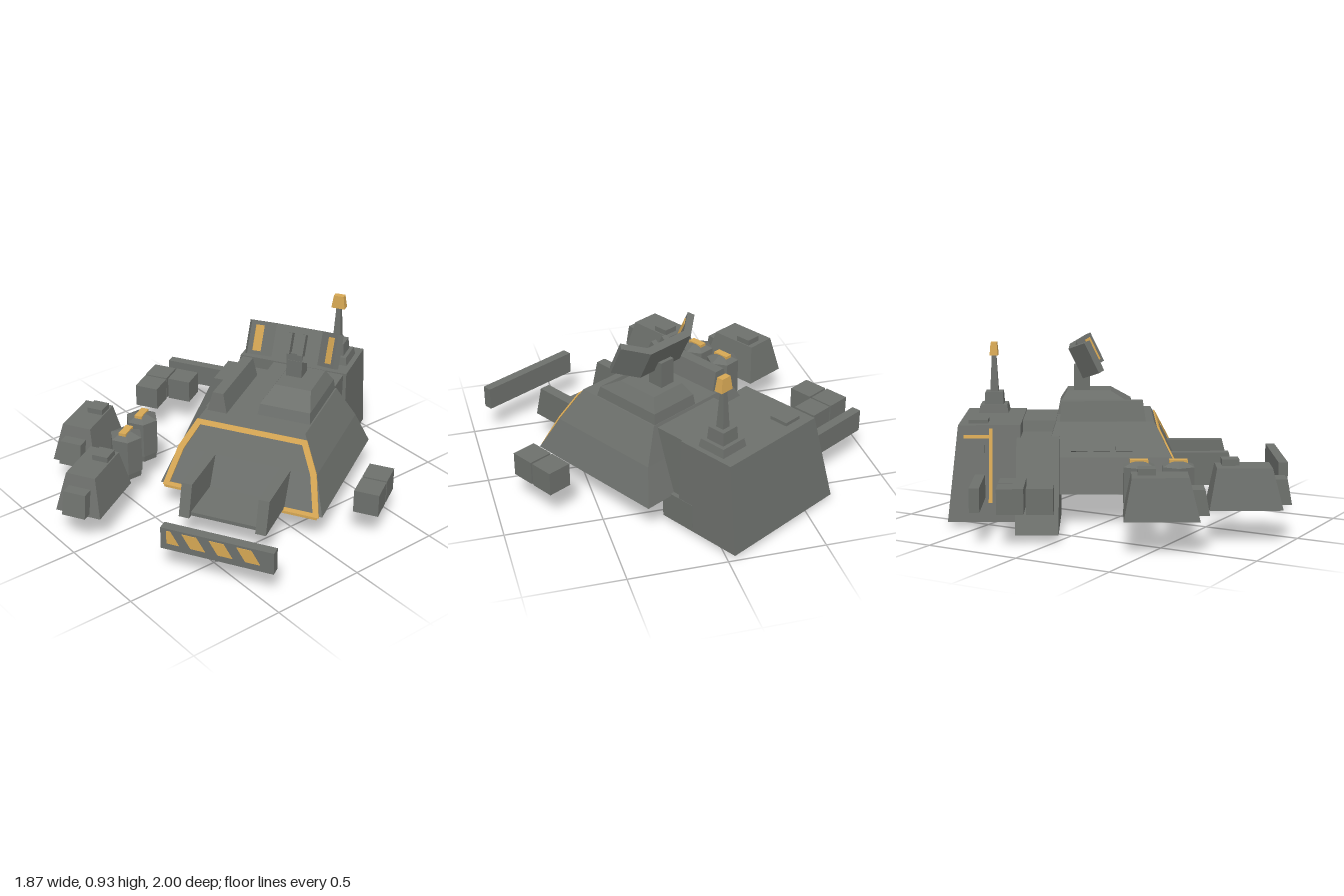
import * as THREE from 'three';

const grey = new THREE.MeshStandardMaterial({ name: 'gunmetal grey', color: 0x6d706c, side: THREE.DoubleSide });
const amber = new THREE.MeshStandardMaterial({ name: 'amber paint', color: 0xd6a754 });

// Rectangular loft, open underneath; each level is [y, x0, x1, z0, z1]
function loft(levels) {
  const pos = [];
  const rings = levels.map(([y, x0, x1, z0, z1]) => [[x0, y, z1], [x1, y, z1], [x1, y, z0], [x0, y, z0]]);
  const quad = (a, b, c, d) => pos.push(...a, ...b, ...c, ...a, ...c, ...d);
  for (let k = 0; k + 1 < rings.length; k++) {
    for (let i = 0; i < 4; i++) {
      const j = (i + 1) % 4;
      quad(rings[k][i], rings[k][j], rings[k + 1][j], rings[k + 1][i]);
    }
  }
  quad(...rings[rings.length - 1]);
  const geo = new THREE.BufferGeometry();
  geo.setAttribute('position', new THREE.Float32BufferAttribute(pos, 3));
  geo.computeVertexNormals();
  return geo;
}

const shapeOf = (pts) => new THREE.Shape(pts.map(([x, y]) => new THREE.Vector2(x, y)));
const extrude = (shape, depth) => new THREE.ExtrudeGeometry(shape, { depth, bevelEnabled: false });

function add(parent, name, geo, mat = grey, x = 0, y = 0, z = 0) {
  const mesh = new THREE.Mesh(geo, mat);
  mesh.name = name;
  mesh.position.set(x, y, z);
  parent.add(mesh);
  return mesh;
}
const box = (parent, name, w, h, d, x, y, z, mat = grey) =>
  add(parent, name, new THREE.BoxGeometry(w, h, d), mat, x, y, z);

function buildHall(g) {
  const cx = 0.19;
  add(g, 'mainHall', loft([
    [0.17, cx - 0.44, cx + 0.44, -0.455, 0.35],
    [0.35, cx - 0.376, cx + 0.376, -0.39, 0.258],
    [0.52, cx - 0.28, cx + 0.28, -0.335, 0.172],
  ]));

  // Painted border lying on the sloped front, with a sill strip below
  const frame = shapeOf([[-0.425, 0], [0.425, 0], [0.376, 0.213], [0.297, 0.372], [-0.297, 0.372], [-0.376, 0.213]]);
  frame.holes.push(shapeOf([[-0.39, 0.02], [-0.344, 0.205], [-0.276, 0.344], [0.276, 0.344], [0.344, 0.205], [0.39, 0.02]]));
  const border = add(g, 'frontBorder', extrude(frame, 0.008), amber, cx, 0.163, 0.354);
  border.rotation.x = -0.468;
  box(g, 'frontSill', 0.83, 0.014, 0.018, cx, 0.163, 0.356, amber);

  // Panels on the left shoulder
  for (const z of [-0.215, -0.1, 0.015]) {
    box(g, 'shoulderPanel', 0.018, 0.13, 0.085, -0.14, 0.435, z).rotation.z = -0.514;
  }

  // Bevelled roof vent
  add(g, 'roofVent', loft([
    [0.515, -0.078, 0.03, -0.315, 0.13],
    [0.622, -0.053, 0.005, -0.31, 0.115],
  ]));

  // Loading ramp between two side arms
  box(g, 'rampFloor', 0.36, 0.02, 0.35, 0.2, 0.188, 0.41);
  const arm = extrude(shapeOf([[0.2, 0.175], [0.61, 0.175], [0.565, 0.347], [0.2, 0.347]]), 0.056);
  arm.rotateY(-Math.PI / 2);
  for (const x of [0.02, 0.428]) add(g, 'rampArm', arm, grey, x, 0, 0);
}

function buildDish(g) {
  add(g, 'dishPlatform', loft([
    [0.515, 0.178, 0.463, -0.334, 0.08],
    [0.575, 0.185, 0.456, -0.325, 0.06],
    [0.64, 0.225, 0.42, -0.285, -0.05],
  ]));
  box(g, 'dishMast', 0.085, 0.14, 0.085, 0.288, 0.705, -0.205);

  const dish = new THREE.Group();
  dish.name = 'dish';
  dish.position.set(0.288, 0.812, -0.2);
  dish.rotation.x = -0.45;
  g.add(dish);
  const plate = extrude(shapeOf([[-0.232, 0.085], [-0.252, 0.055], [-0.137, -0.04], [0.137, -0.04],
    [0.252, 0.055], [0.232, 0.085], [0.125, 0], [-0.125, 0]]), 0.175);
  plate.rotateX(Math.PI / 2).translate(0, 0.0875, 0);
  add(dish, 'dishPlate', plate);
  for (const s of [-1, 1]) {
    box(dish, 'dishStripe', 0.045, 0.135, 0.008, s * 0.194, 0, 0.056, amber).rotation.y = -s * 0.671;
    box(dish, 'dishRib', 0.03, 0.11, 0.045, s * 0.036, 0, 0.018);
  }
}

function buildRear(g) {
  add(g, 'rearBlock', loft([
    [0.03, -0.252, 0.474, -0.884, -0.505],
    [0.512, -0.145, 0.468, -0.835, -0.515],
  ]));
  add(g, 'connector', loft([
    [0.18, -0.03, 0.45, -0.53, -0.36],
    [0.505, 0.05, 0.45, -0.53, -0.32],
  ]));
  add(g, 'rearFooting', loft([
    [0.03, -0.12, 0.474, -0.6, -0.4],
    [0.18, -0.12, 0.474, -0.6, -0.4],
  ]));
  add(g, 'sideAnnex', loft([
    [0, -0.425, 0.09, -0.532, -0.315],
    [0.45, -0.225, 0.09, -0.532, -0.315],
  ]));
  box(g, 'roofHatch', 0.1, 0.03, 0.1, -0.036, 0.515, -0.737);

  // Painted stripes and panel on the sloped left wall
  const tilt = -0.218;
  box(g, 'sideStripe', 0.009, 0.38, 0.018, -0.19, 0.31, -0.667, amber).rotation.z = tilt;
  box(g, 'sideStripeTop', 0.009, 0.018, 0.13, -0.159, 0.455, -0.74, amber).rotation.z = tilt;
  box(g, 'sidePanel', 0.014, 0.1, 0.08, -0.18, 0.365, -0.74).rotation.z = tilt;

  // Beacon
  const square = (y, w, d = w) => [y, 0.36 - w / 2, 0.36 + w / 2, -0.685 - d / 2, -0.685 + d / 2];
  add(g, 'beaconBase', loft([square(0.5, 0.165), square(0.555, 0.145)]));
  add(g, 'beaconStep', loft([square(0.55, 0.105), square(0.622, 0.095)]));
  add(g, 'beaconMast', loft([square(0.62, 0.045), square(0.82, 0.024)]));
  const lamp = add(g, 'beaconLamp', new THREE.CylinderGeometry(0.0389, 0.053, 0.07, 4, 1).toNonIndexed(), amber, 0.36, 0.855, -0.685);
  lamp.geometry.rotateY(Math.PI / 4).scale(1, 1, 0.6);
  lamp.geometry.computeVertexNormals();
}

function buildYard(g) {
  // Tapered pods with roof hatch and front nub
  for (const [x, z] of [[-0.75, 0.18], [-0.512, 0.597]]) {
    const pod = new THREE.Group();
    pod.name = 'pod';
    pod.position.set(x, 0, z);
    g.add(pod);
    add(pod, 'podBody', loft([
      [0.17, -0.123, 0.123, -0.178, 0.18],
      [0.37, -0.08, 0.08, -0.14, 0.13],
    ]));
    box(pod, 'podHatch', 0.085, 0.04, 0.085, 0.03, 0.38, -0.068);
    add(pod, 'podNub', loft([
      [0.185, -0.063, 0.063, 0.1, 0.228],
      [0.31, -0.06, 0.06, 0.1, 0.205],
    ]));
  }

  // Hexagonal tanks
  const parts = [['tankFoot', 0.084, 0.078, 0.04, 0.15], ['tankBody', 0.088, 0.088, 0.195, 0.265], ['tankCap', 0.03, 0.088, 0.025, 0.375]];
  for (const z of [0.083, 0.276]) {
    for (const [name, r1, r2, h, y] of parts) {
      const geo = new THREE.CylinderGeometry(r1, r2, h, 6).toNonIndexed().rotateY(Math.PI / 6);
      geo.computeVertexNormals();
      add(g, name, geo, grey, -0.478, y, z);
    }
    box(g, 'tankHandle', 0.04, 0.03, 0.09, -0.478, 0.379, z, amber);
  }

  // Crates
  for (const [x, z] of [[-0.648, -0.536], [-0.508, -0.536], [-0.645, -0.395], [0.822, 0.036], [0.822, 0.177]]) {
    box(g, 'crate', 0.13, 0.125, 0.13, x, 0.233, z);
  }

  // Barriers, the front one with hazard stripes
  box(g, 'sideBarrier', 0.345, 0.12, 0.05, -0.49, 0.23, -0.71);
  box(g, 'frontBarrier', 0.58, 0.12, 0.05, 0.278, 0.23, 0.855);
  const stripes = [[[0.02, 0.278], [0.02, 0.206], [0.085, 0.206], [0.04, 0.278]]];
  for (const x of [0.1, 0.24, 0.38]) {
    stripes.push([[x, 0.278], [x + 0.045, 0.206], [x + 0.12, 0.206], [x + 0.075, 0.278]]);
  }
  for (const pts of stripes) add(g, 'hazardStripe', extrude(shapeOf(pts), 0.005), amber, 0, 0, 0.878);
}

export function createModel() {
  const model = new THREE.Group();
  model.name = 'outpost';
  const base = new THREE.Group();
  base.name = 'base';
  base.rotation.y = Math.PI / 6;
  model.add(base);
  buildHall(base);
  buildDish(base);
  buildRear(base);
  buildYard(base);
  return model;
}
